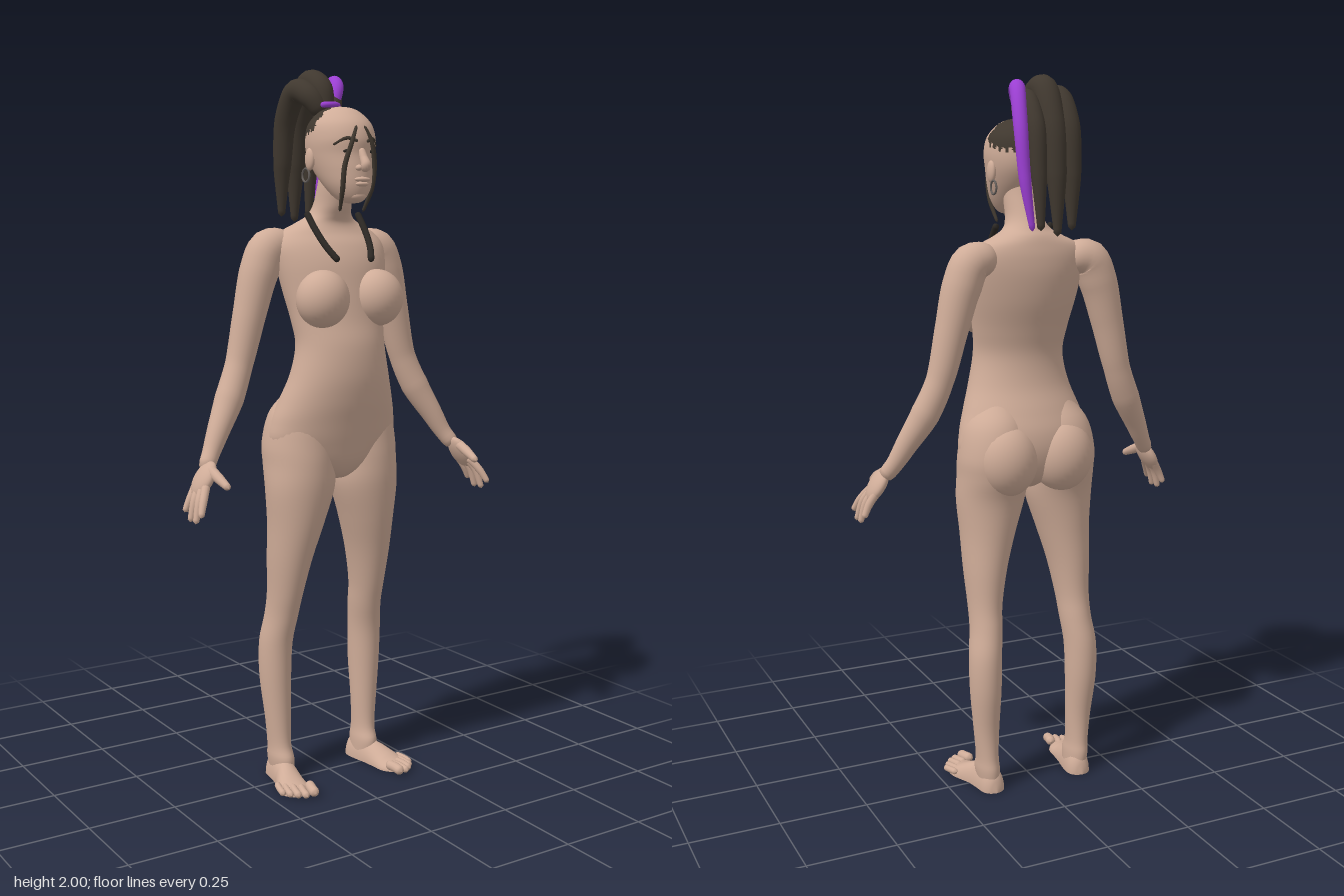
import * as THREE from 'three';

const mat = (name, color) => {
  const m = new THREE.MeshStandardMaterial({ color });
  m.name = name;
  return m;
};

// Closed rings joined into a smooth skin; point(i, a) gives ring i at angle a.
function rings(rows, n, point) {
  const pos = [], idx = [];
  for (let i = 0; i <= rows; i++)
    for (let j = 0; j < n; j++) pos.push(...point(i, (j / n) * Math.PI * 2));
  for (let i = 0; i < rows; i++)
    for (let j = 0; j < n; j++) {
      const k = (j + 1) % n, a = i * n + j, b = i * n + k;
      idx.push(a, b, a + n, b, b + n, a + n);
    }
  const g = new THREE.BufferGeometry();
  g.setAttribute('position', new THREE.Float32BufferAttribute(pos, 3));
  g.setIndex(idx);
  g.computeVertexNormals();
  return g;
}

// Upright form through cross-sections [y, centre x, half width, front z, back z].
function loft(sections, rows = 64, n = 40) {
  const A = new THREE.CatmullRomCurve3(sections.map(s => new THREE.Vector3(s[0], s[1], s[2])), false, 'catmullrom', 0.5);
  const B = new THREE.CatmullRomCurve3(sections.map(s => new THREE.Vector3(s[3], s[4], 0)), false, 'catmullrom', 0.5);
  return rings(rows, n, (i, a) => {
    const p = A.getPoint(i / rows), q = B.getPoint(i / rows);
    return [p.y + p.z * Math.sin(a), p.x, (q.x + q.y) / 2 + ((q.x - q.y) / 2) * Math.cos(a)];
  });
}

// Round-ended tube through points [x, y, z, radius]; s mirrors it in x.
function sweep(pts, s = 1, rows = 40, n = 16) {
  const c = new THREE.CatmullRomCurve3(pts.map(p => new THREE.Vector3(p[0] * s, p[1], p[2])));
  const f = c.computeFrenetFrames(rows), len = c.getLength(), last = pts.length - 1;
  return rings(rows, n, (i, a) => {
    const u = i / rows, t = c.getUtoTmapping(u, 0) * last, k = Math.min(last - 1, Math.floor(t));
    let r = THREE.MathUtils.lerp(pts[k][3], pts[k + 1][3], t - k);
    const d = Math.min(1, (Math.min(u, 1 - u) * len) / r);
    r *= Math.sqrt(Math.max(0.0004, 1 - (1 - d) ** 2));
    return c.getPointAt(u).addScaledVector(f.normals[i], r * Math.cos(a))
      .addScaledVector(f.binormals[i], r * Math.sin(a)).toArray();
  });
}

export function createModel() {
  const model = new THREE.Group();
  model.name = 'figure';
  const skin = mat('skin', 0xcfac98), hair = mat('darkHair', 0x40382f);
  const purple = mat('purpleHair', 0x9b3fd2), black = mat('blackCord', 0x2b2723);
  const metal = mat('earringMetal', 0x66605c);
  const add = (name, geo, m) => {
    const mesh = new THREE.Mesh(geo, m);
    mesh.name = name;
    model.add(mesh);
    return mesh;
  };
  const ball = (name, p, r, m = skin, rotZ = 0) => {
    const mesh = add(name, new THREE.SphereGeometry(1, 32, 20), m);
    mesh.position.set(...p);
    mesh.scale.set(...r);
    mesh.rotation.z = rotZ;
  };

  // Torso and neck
  add('torso', loft([
    [0.87, 0, 0.002, 0.022, 0.018], [0.88, 0, 0.04, 0.07, -0.03], [0.92, 0, 0.14, 0.102, -0.08], [0.98, 0, 0.195, 0.12, -0.1],
    [1.04, 0, 0.192, 0.135, -0.098], [1.10, 0, 0.172, 0.15, -0.078], [1.17, 0, 0.148, 0.16, -0.052],
    [1.25, 0, 0.132, 0.157, -0.042], [1.32, 0, 0.139, 0.14, -0.055], [1.40, 0, 0.155, 0.125, -0.077],
    [1.47, 0, 0.168, 0.11, -0.088], [1.52, 0, 0.17, 0.088, -0.088], [1.555, 0, 0.148, 0.063, -0.082],
    [1.58, 0, 0.098, 0.054, -0.074], [1.60, 0, 0.065, 0.06, -0.06], [1.63, 0, 0.051, 0.075, -0.042],
    [1.68, 0, 0.048, 0.09, -0.022], [1.72, 0, 0.045, 0.09, -0.012]], 90, 48), skin);

  // Head, with the cropped hair as faces of the same skin
  const head = loft([
    [1.632, 0, 0.004, 0.125, 0.105], [1.636, 0, 0.024, 0.143, 0.085], [1.65, 0, 0.042, 0.157, 0.055],
    [1.68, 0, 0.061, 0.166, 0.02], [1.72, 0, 0.076, 0.166, -0.02], [1.76, 0, 0.086, 0.162, -0.045],
    [1.80, 0, 0.09, 0.165, -0.052], [1.84, 0, 0.083, 0.152, -0.045], [1.87, 0, 0.06, 0.122, -0.02],
    [1.885, 0, 0.035, 0.092, 0.012], [1.891, 0, 0.003, 0.056, 0.05]], 90, 80);
  const p = head.attributes.position, sorted = [[], []];
  for (let i = 0; i < head.index.count; i += 3) {
    const tri = [0, 1, 2].map(k => head.index.getX(i + k));
    const [x, y, z] = ['getX', 'getY', 'getZ'].map(get => tri.reduce((sum, v) => sum + p[get](v) / 3, 0));
    const jag = 0.007 * Math.sin(Math.atan2(x, z - 0.05) * 26);
    const cropped = y > 1.808 + jag + Math.max(0, z) * 0.3 && z < 0.066 + 0.005 * Math.sin(x * 260);
    sorted[cropped ? 1 : 0].push(...tri);
  }
  head.setIndex(sorted.flat());
  head.addGroup(0, sorted[0].length, 0);
  head.addGroup(sorted[0].length, sorted[1].length, 1);
  add('head', head, [skin, hair]);
  add('nose', sweep([[0, 1.775, 0.158, 0.009], [0, 1.75, 0.171, 0.011], [0, 1.729, 0.182, 0.014], [0, 1.722, 0.165, 0.012]]), skin);
  ball('upperLip', [0, 1.694, 0.165], [0.024, 0.007, 0.011]);
  ball('lowerLip', [0, 1.682, 0.163], [0.02, 0.007, 0.011]);
  ball('chin', [0, 1.652, 0.14], [0.025, 0.016, 0.02]);

  for (const s of [1, -1]) {
    const side = s > 0 ? 'left' : 'right';
    const S = (name, pts, m = skin, rows = 40, n = 16) => add(side + name, sweep(pts, s, rows, n), m);

    // Face details
    ball(side + 'Nostril', [s * 0.013, 1.724, 0.168], [0.009, 0.008, 0.011]);
    ball(side + 'Eye', [s * 0.036, 1.768, 0.151], [0.016, 0.005, 0.006], black, -s * 0.1);
    S('Brow', [[0.014, 1.793, 0.165, 0.004], [0.04, 1.801, 0.153, 0.005], [0.068, 1.784, 0.127, 0.003]], hair);
    S('FaceStrand', [[0.012, 1.835, 0.155, 0.004], [0.032, 1.79, 0.163, 0.006], [0.047, 1.73, 0.152, 0.007],
      [0.046, 1.67, 0.14, 0.007], [0.037, 1.61, 0.112, 0.004]], hair);
    ball(side + 'Ear', [s * 0.086, 1.75, 0.04], [0.011, 0.03, 0.019]);
    const ring = add(side + 'Earring', new THREE.TorusGeometry(0.018, 0.003, 8, 28), metal);
    ring.position.set(s * 0.088, 1.708, 0.022);
    ring.rotation.y = Math.PI / 2;

    // Cord hanging over the collarbone
    S('Cord', [[0.083, 1.61, 0.015, 0.009], [0.08, 1.56, 0.06, 0.009], [0.07, 1.515, 0.1, 0.009], [0.052, 1.478, 0.132, 0.009]], black);

    // Chest and seat volumes
    ball(side + 'Chest', [s * 0.088, 1.378, 0.108], [0.074, 0.078, 0.07], skin, s * 0.15);
    ball(side + 'Seat', [s * 0.085, 0.968, -0.048], [0.09, 0.105, 0.084]);

    // Arm and hand
    S('Arm', [[0.1, 1.52, -0.03, 0.04], [0.175, 1.512, -0.03, 0.054], [0.206, 1.45, -0.03, 0.054],
      [0.236, 1.34, -0.03, 0.046], [0.272, 1.2, -0.028, 0.038], [0.31, 1.11, -0.015, 0.04],
      [0.355, 1.03, 0.006, 0.031], [0.387, 0.972, 0.022, 0.024], [0.415, 0.93, 0.042, 0.022]], skin, 56, 24);
    ball(side + 'Palm', [s * 0.426, 0.912, 0.055], [0.02, 0.052, 0.041], skin, s * 0.55);
    [[0.13, 0.825, 0.082], [0.1, 0.804, 0.066], [0.068, 0.804, 0.048], [0.036, 0.825, 0.03]].forEach(([z, y, z0], i) =>
      S('Finger' + (i + 1), [[0.433, 0.9, z0, 0.012], [0.457, 0.862, (z + z0) / 2 + 0.005, 0.011], [0.474, y, z, 0.008]], skin, 20, 12));
    S('Thumb', [[0.412, 0.94, 0.06, 0.015], [0.41, 0.92, 0.11, 0.014], [0.406, 0.9, 0.158, 0.009]], skin, 20, 12);

    // Leg
    add(side + 'Leg', loft([
      [0.02, 0.14, 0.03, 0.015, -0.085], [0.06, 0.143, 0.033, 0.018, -0.088], [0.10, 0.145, 0.031, 0.003, -0.083],
      [0.18, 0.148, 0.036, 0, -0.084], [0.30, 0.152, 0.044, 0.002, -0.099], [0.40, 0.151, 0.046, 0.008, -0.099],
      [0.48, 0.142, 0.045, 0.026, -0.086], [0.55, 0.138, 0.048, 0.046, -0.075], [0.65, 0.131, 0.061, 0.072, -0.074],
      [0.75, 0.118, 0.078, 0.095, -0.074], [0.85, 0.106, 0.098, 0.11, -0.08], [0.92, 0.103, 0.1, 0.112, -0.1],
      [0.98, 0.1, 0.102, 0.108, -0.108], [1.06, 0.094, 0.09, 0.1, -0.09], [1.12, 0.08, 0.06, 0.08, -0.05]]
      .map(r => [r[0], r[1] * s, ...r.slice(2)])), skin);

    // Foot: tube flattened underneath and sloping down to the toes
    const foot = sweep([[0.138, 0, -0.095, 0.034], [0.14, 0, -0.05, 0.036], [0.15, 0, 0.01, 0.036],
      [0.165, 0, 0.07, 0.046], [0.17, 0, 0.128, 0.044]], s, 48, 24);
    const v = foot.attributes.position;
    for (let i = 0; i < v.count; i++) {
      const h = THREE.MathUtils.lerp(1.9, 0.55, THREE.MathUtils.smoothstep(v.getZ(i), -0.03, 0.1));
      v.setY(i, Math.max(0, v.getY(i)) * h);
    }
    foot.computeVertexNormals();
    add(side + 'Foot', foot, skin);
    [[0.146, 0.164, 0.014], [0.17, 0.158, 0.01], [0.188, 0.145, 0.01], [0.203, 0.128, 0.009], [0.216, 0.108, 0.009]].forEach(([x, z, r], i) =>
      S('Toe' + (i + 1), [[x - 0.012, r + 0.008, z - 0.06, r], [x - 0.003, r + 0.005, z - 0.028, r], [x, r, z, r]], skin, 16, 12));
  }

  // Ponytail: tie, dark locks and one purple lock
  const tie = add('hairTie', new THREE.TorusGeometry(0.031, 0.008, 10, 32), purple);
  tie.position.set(0, 1.895, -0.012);
  tie.rotation.x = Math.PI / 2 - 0.15;
  [[-0.05, 1.94, 0.034, 1.6], [-0.008, 1.964, 0.036, 1.585], [0.04, 1.935, 0.028, 1.6]].forEach(([x, y, r, tip], i) =>
    add('darkLock' + (i + 1), sweep([[x * 0.3, 1.87, -0.008, 0.022], [x * 0.8, y - 0.02, -0.03, r * 0.9], [x, y, -0.085, r],
      [x * 1.05, 1.87, -0.14, r * 0.95], [x * 1.05, 1.74, -0.163, r * 0.75], [x, tip, -0.172, 0.009]], 1, 56, 20), hair));
  add('purpleLock', sweep([[0.022, 1.885, -0.012, 0.014], [0.045, 1.95, -0.03, 0.019], [0.065, 1.965, -0.08, 0.021],
    [0.085, 1.87, -0.142, 0.019], [0.084, 1.73, -0.168, 0.016], [0.068, 1.6, -0.18, 0.007]], 1, 56, 20), purple);
  return model;
}
